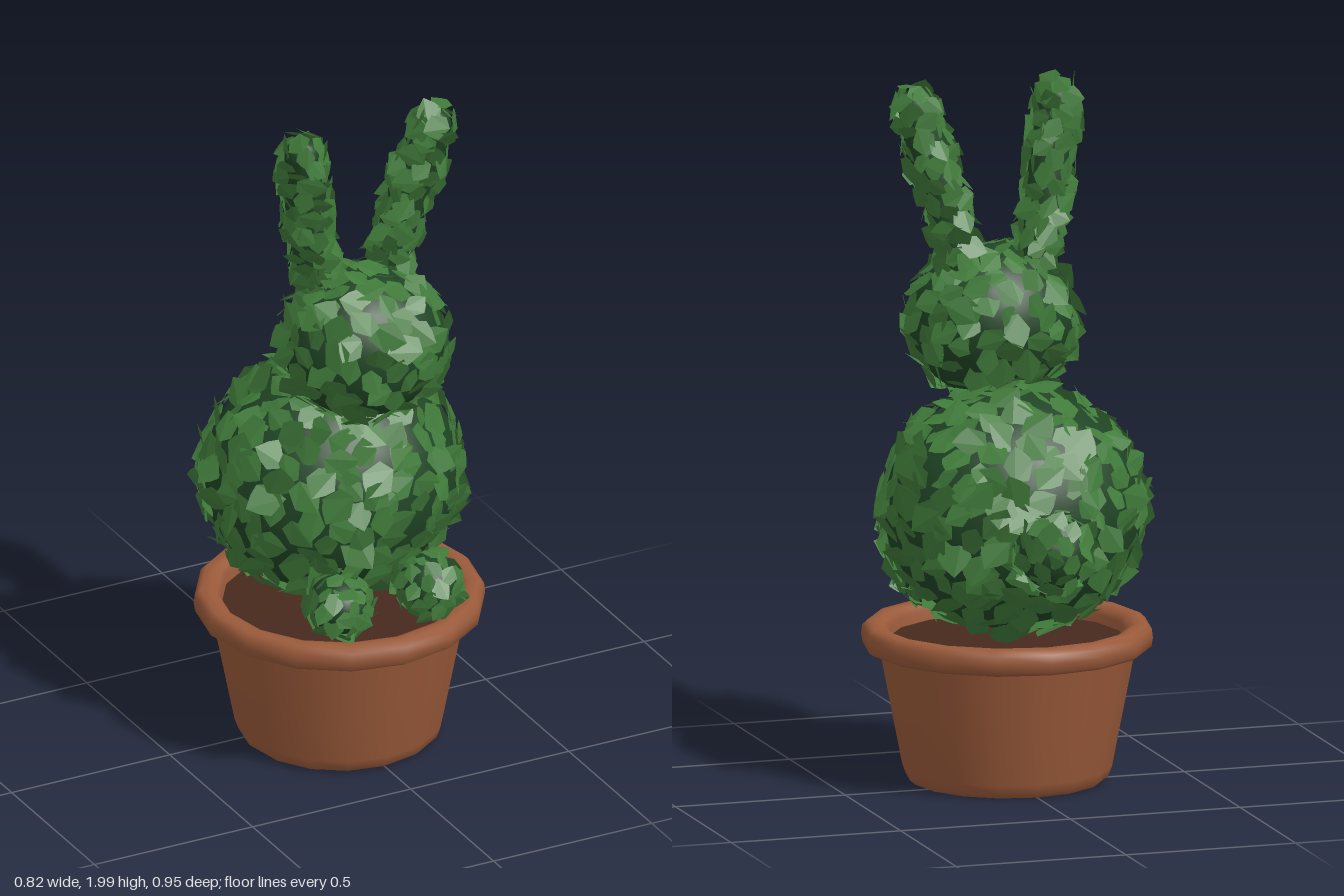
import * as THREE from 'three';
import { mergeGeometries } from 'three/addons/utils/BufferGeometryUtils.js';

const V = (x, y, z) => new THREE.Vector3(x, y, z);
const terracotta = new THREE.MeshStandardMaterial({ color: 0x9a5a3a });
const soilBrown = new THREE.MeshStandardMaterial({ color: 0x47291d });
const coreGreen = new THREE.MeshStandardMaterial({ color: 0x1f4424 });
const leafGreen = new THREE.MeshStandardMaterial({ color: 0x407a3a, side: THREE.DoubleSide });

// Small seeded generator, so the foliage is always the same
let seed = 7;
const rand = (lo = 0, hi = 1) => {
  seed = (seed * 16807) % 2147483647;
  return lo + (hi - lo) * (seed / 2147483647);
};

// One unit leaf: an angular blade, folded along its midrib, tip towards +y
function leafBlade() {
  const shape = new THREE.Shape([
    [-0.22, -0.5], [0.22, -0.5], [0.46, 0.05], [0.3, 0.3], [0, 0.58], [-0.3, 0.3], [-0.46, 0.05],
  ].map(([x, y]) => new THREE.Vector2(x, y)));
  const g = new THREE.ShapeGeometry(shape).toNonIndexed();
  const p = g.attributes.position;
  for (let i = 0; i < p.count; i++) p.setZ(i, -0.12 * Math.abs(p.getX(i)));
  g.computeVertexNormals();
  return g;
}

// Lay a leaf on every surface spot { p, n }, turned at random and slightly lifted
function foliage(name, spots, size, lift = 0.35) {
  const blade = leafBlade();
  const geos = spots.map(({ p, n }) => {
    const s = size * rand(0.8, 1.2);
    const turn = new THREE.Quaternion().setFromUnitVectors(V(0, 0, 1), n)
      .multiply(new THREE.Quaternion().setFromEuler(
        new THREE.Euler(rand(-0.1, lift * 1.6), rand(-lift, lift), rand(0, Math.PI * 2), 'ZXY')));
    const at = p.clone().addScaledVector(n, size * rand(0.08, 0.22));
    return blade.clone().applyMatrix4(new THREE.Matrix4().compose(at, turn, V(s, s, s)));
  });
  const mesh = new THREE.Mesh(mergeGeometries(geos), leafGreen);
  mesh.name = name;
  return mesh;
}

// Evenly spread spots over an ellipsoid
function ballSpots(c, r, count) {
  return Array.from({ length: count }, (_, i) => {
    const y = 1 - (2 * i + 1) / count;
    const a = i * 2.39996 + rand(-0.1, 0.1);
    const q = Math.sqrt(1 - y * y);
    const u = V(q * Math.cos(a), y, q * Math.sin(a));
    return { p: u.clone().multiply(r).add(c), n: u.clone().divide(r).normalize() };
  });
}

// A clipped ball of shrubbery: dark core plus leaves
function bush(name, c, r, count, size) {
  const g = new THREE.Group();
  g.name = name;
  const core = new THREE.Mesh(new THREE.SphereGeometry(1, 24, 16), coreGreen);
  core.name = name + 'Core';
  core.position.copy(c);
  core.scale.copy(r);
  g.add(core, foliage(name + 'Leaves', ballSpots(c, r, count), size));
  return g;
}

// A long ear following a curve, with rounded tip
function ear(name, side, tipX) {
  const g = new THREE.Group();
  g.name = name;
  const curve = new THREE.CatmullRomCurve3([
    V(side * 0.11, 1.44, 0.155), V(side * 0.14, 1.6, 0.165),
    V(side * (0.06 + tipX * 0.57), 1.77, 0.185), V(side * tipX, 1.91, 0.21),
  ]);
  const radius = (t) => 0.042 + 0.018 * Math.sin(Math.PI * Math.min(1, t * 0.85));
  const segs = 12, sides = 12;
  const tube = new THREE.TubeGeometry(curve, segs, 1, sides);
  const pos = tube.attributes.position;
  for (let i = 0; i < pos.count; i++) {
    const t = Math.floor(i / (sides + 1)) / segs;
    const c = curve.getPointAt(t);
    const v = V(0, 0, 0).fromBufferAttribute(pos, i).sub(c).multiplyScalar(radius(t)).add(c);
    pos.setXYZ(i, v.x, v.y, v.z);
  }
  const core = new THREE.Mesh(tube, coreGreen);
  core.name = name + 'Core';
  const tip = new THREE.Mesh(new THREE.SphereGeometry(radius(1), 12, 8), coreGreen);
  tip.name = name + 'Tip';
  tip.position.copy(curve.getPointAt(1));
  const spots = [];
  const count = 80;
  for (let i = 0; i < count; i++) {
    const t = (i + 0.5) / count;
    const along = curve.getTangentAt(t);
    const n = V(1, 0, 0).cross(along).normalize().applyAxisAngle(along, i * 2.39996);
    spots.push({ p: curve.getPointAt(t).addScaledVector(n, radius(t)), n });
  }
  const top = ballSpots(tip.position, V(1, 1, 1).multiplyScalar(radius(1)), 18).filter((s) => s.n.y > 0);
  g.add(core, tip, foliage(name + 'Leaves', spots.concat(top), 0.072, 0.4));
  return g;
}

// Turned part of the pot, 16 sided
function turned(name, profile, material) {
  const pts = profile.map(([x, y]) => new THREE.Vector2(x, y));
  const m = new THREE.Mesh(new THREE.LatheGeometry(pts, 16), material);
  m.name = name;
  return m;
}

export function createModel() {
  const model = new THREE.Group();
  model.name = 'rabbitTopiary';

  // Flower pot
  const pot = new THREE.Group();
  pot.name = 'pot';
  pot.position.z = 0.07;
  pot.add(
    turned('potBase', [[0, 0], [0.27, 0]], terracotta),
    turned('potWall', [[0.27, 0], [0.285, 0.012], [0.295, 0.04], [0.328, 0.21], [0.362, 0.385]], terracotta),
    turned('potRim', [[0.355, 0.375], [0.392, 0.375], [0.406, 0.385], [0.41, 0.41], [0.407, 0.435],
      [0.392, 0.449], [0.365, 0.45], [0.345, 0.442], [0.335, 0.425], [0.33, 0.38]], terracotta),
    turned('soil', [[0.34, 0.4], [0, 0.41]].reverse().map(([x, y]) => [x, y]), soilBrown),
  );
  pot.getObjectByName('soil').material.side = THREE.DoubleSide;
  model.add(pot);

  // Rabbit body, head and tail
  model.add(
    bush('body', V(0, 0.785, 0.02), V(0.365, 0.34, 0.335), 330, 0.092),
    bush('head', V(0, 1.285, 0.215), V(0.232, 0.215, 0.215), 150, 0.085),
    bush('tail', V(0, 0.73, -0.355), V(0.1, 0.1, 0.085), 48, 0.07),
  );

  // Paired feet and ears
  for (const side of [1, -1]) {
    const label = side > 0 ? 'left' : 'right';
    model.add(
      bush(label + 'Foot', V(side * 0.14, 0.54, 0.335), V(0.085, 0.082, 0.095), 55, 0.06),
      ear(label + 'Ear', side, side > 0 ? 0.225 : 0.19),
    );
  }
  return model;
}
